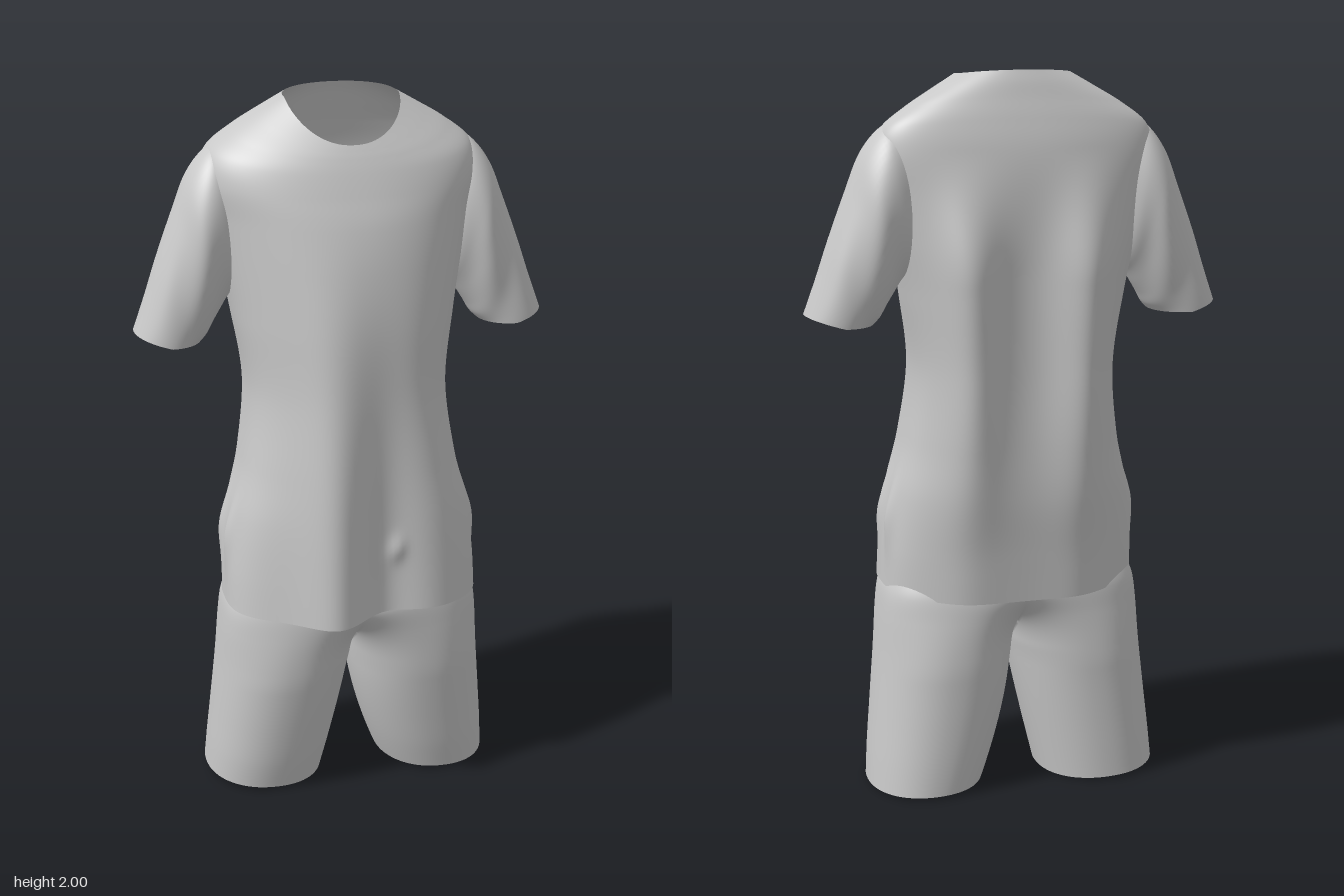
import * as THREE from 'three';
import { mergeVertices, mergeGeometries } from 'three/addons/utils/BufferGeometryUtils.js';

const { smoothstep, lerp } = THREE.MathUtils;
const gauss = (d, s) => Math.exp(-(d * d) / (2 * s * s));
const spow = (v, e) => Math.sign(v) * Math.pow(Math.abs(v), e);

// Smooth interpolation through a list of rows, t in 0..1
function sampleRows(rows, t) {
  const f = t * (rows.length - 1);
  const i = Math.min(Math.floor(f), rows.length - 2), k = f - i;
  const at = (j) => rows[Math.max(0, Math.min(rows.length - 1, j))];
  return rows[0].map((_, c) => {
    const a = at(i - 1)[c], b = at(i)[c], d = at(i + 1)[c], e = at(i + 2)[c];
    return b + 0.5 * k * (d - a + k * (2 * a - 5 * b + 4 * d - e + k * (3 * (b - d) + e - a)));
  });
}

// Open cloth surface from point(u, v); side = -1 mirrors it in x, hole(point) leaves faces out
function sheet(point, nu, nv, side = 1, hole = () => false) {
  const pos = [], index = [];
  for (let j = 0; j <= nv; j++) {
    for (let i = 0; i <= nu; i++) {
      const [x, y, z] = point(i / nu, j / nv);
      pos.push(x * side, y, z);
    }
  }
  for (let j = 0; j < nv; j++) {
    for (let i = 0; i < nu; i++) {
      if (hole(point((i + 0.5) / nu, (j + 0.5) / nv))) continue;
      const a = j * (nu + 1) + i, b = a + 1, c = a + nu + 1, d = c + 1;
      if (side > 0) index.push(a, b, d, a, d, c);
      else index.push(a, d, b, a, c, d);
    }
  }
  const g = new THREE.BufferGeometry();
  g.setAttribute('position', new THREE.Float32BufferAttribute(pos, 3));
  g.setIndex(index);
  return g;
}

function finish(geometry) {
  const g = mergeVertices(geometry, 1e-4);
  g.computeVertexNormals();
  return g;
}

// Shirt body, hem to collar: yFront, ySide, yBack, half width, zFront, zBack, zSide
const shirtRows = [
  [0.585, 0.58, 0.56, 0.362, 0.245, -0.238, 0],
  [0.7, 0.7, 0.7, 0.356, 0.24, -0.25, -0.01],
  [0.85, 0.85, 0.85, 0.337, 0.235, -0.265, -0.02],
  [1.0, 1.0, 1.0, 0.302, 0.23, -0.27, -0.03],
  [1.2, 1.2, 1.2, 0.28, 0.22, -0.27, -0.05],
  [1.4, 1.4, 1.4, 0.308, 0.208, -0.27, -0.07],
  [1.55, 1.55, 1.55, 0.337, 0.188, -0.268, -0.09],
  [1.67, 1.68, 1.69, 0.362, 0.162, -0.258, -0.1],
  [1.75, 1.78, 1.8, 0.382, 0.135, -0.243, -0.1],
  [1.81, 1.85, 1.875, 0.365, 0.113, -0.224, -0.1],
  [1.845, 1.903, 1.93, 0.3, 0.098, -0.206, -0.09],
  [1.865, 1.947, 1.97, 0.227, 0.088, -0.193, -0.075],
  [1.88, 1.988, 2.0, 0.157, 0.08, -0.18, -0.065],
];

function shirtPoint(u, v) {
  const [yF, yS, yB, w, zF, zB, zS] = sampleRows(shirtRows, v);
  const th = u * Math.PI * 2, s = Math.sin(th), c = Math.cos(th);
  const y = yS + ((c > 0 ? yF : yB) - yS) * Math.pow(Math.abs(c), 1.3);
  let x = w * spow(s, 0.92);
  const upper = smoothstep(y, 0.7, 1.7);
  const boxy = c > 0 ? lerp(0.65, 0.95, upper) : lerp(0.78, 0.7, upper);
  let z = zS + (c > 0 ? zF - zS : zS - zB) * spow(c, boxy);
  // Hanging folds
  if (c > 0) {
    const k = Math.pow(1 - smoothstep(y, 0.55, 1.7), 0.8) * smoothstep(c, 0, 0.5);
    z += k * (0.068 * gauss(x + 0.1, 0.07) - 0.03 * gauss(x - 0.06, 0.06) + 0.006 * gauss(x - 0.22, 0.06));
    z += 0.012 * gauss(x - 0.09, 0.015) * gauss(y - 0.77, 0.025);
  } else {
    const k = (0.25 + 0.75 * smoothstep(y, 0.65, 1.2)) * (1 - smoothstep(y, 1.45, 1.8)) * smoothstep(-c, 0, 0.4);
    z -= k * 0.055 * (gauss(x + 0.16, 0.06) + gauss(x - 0.18, 0.06));
    z += k * 0.015 * gauss(x, 0.07);
  }
  // Pocket bulges at the hips
  const bulge = 0.016 * smoothstep(Math.abs(s), 0.5, 0.8) * gauss(y - 0.78, 0.06) *
    (gauss(z - 0.03, 0.018) + gauss(z + 0.06, 0.018));
  x += Math.sign(s) * bulge;
  return [x, y, z];
}

// Opening in the shirt body behind each sleeve
const armhole = ([x, y, z]) =>
  Math.abs(x) > 0.28 && ((y - 1.64) / 0.15) ** 2 + ((z + 0.095) / 0.085) ** 2 < 1;

// Sleeve, shoulder to cuff: outer x, y, inner x, y, zFront, zBack
const sleeveRows = [
  [0.315, 1.872, 0.27, 1.52, -0.005, -0.19],
  [0.368, 1.85, 0.298, 1.475, 0.024, -0.215],
  [0.42, 1.785, 0.322, 1.445, 0.034, -0.22],
  [0.461, 1.685, 0.342, 1.412, 0.032, -0.215],
  [0.506, 1.565, 0.362, 1.38, 0.027, -0.207],
  [0.542, 1.46, 0.378, 1.352, 0.023, -0.198],
  [0.578, 1.362, 0.395, 1.335, 0.02, -0.19],
];

function sleevePoint(u, v) {
  const [ox, oy, ix, iy, zF, zB] = sampleRows(sleeveRows, v);
  const th = u * Math.PI * 2, k = 0.5 + 0.5 * Math.cos(th), s = Math.sin(th);
  const fold = 0.006 * Math.sin(v * 9 + k * 7) * Math.sin(Math.PI * v) * s;
  const sag = v * v * 0.012 * (1 - Math.abs(2 * k - 1));
  return [lerp(ix, ox, k), lerp(iy, oy, k) - sag, (zF + zB) / 2 + (zF - zB) / 2 * spow(s, 0.92) + fold];
}

// Shorts, leg opening to waist: y, outer x, zFront, zBack
const shortsRows = [
  [0.012, 0.42, 0.135, -0.238],
  [0.1, 0.413, 0.155, -0.238],
  [0.2, 0.403, 0.172, -0.237],
  [0.3, 0.393, 0.187, -0.236],
  [0.4, 0.383, 0.2, -0.236],
  [0.5, 0.373, 0.211, -0.236],
  [0.57, 0.362, 0.212, -0.232],
  [0.62, 0.342, 0.2, -0.215],
];

// One leg turns from a full tube into half of the hips above the crotch
function shortsPoint(side) {
  return (u, v) => {
    const [y, w, zF, zB] = sampleRows(shortsRows, v);
    const drop = Math.max(0, 0.4 - y) / 0.388;
    const inner = side > 0 ? 0.095 * Math.pow(drop, 1.6) : 0.08 * Math.pow(drop, 1.15);
    const leg = 1 - smoothstep(y, 0.34, 0.59);
    const zc = (zF + zB) / 2, r = (zF - zB) / 2, b = u * Math.PI * 2;
    const a = b / 2 - 0.26 * Math.sin(b);
    const legX = (w + inner) / 2 - (w - inner) / 2 * spow(Math.cos(b), 0.92);
    const legZ = zc + r * spow(Math.sin(b), 0.92);
    const hipX = w * spow(Math.sin(a), 0.95), hipZ = zc + r * spow(Math.cos(a), 0.6);
    const x = lerp(hipX, legX, leg);
    const tilt = (1 - v) ** 6 * (side > 0 ? -0.004 : 0.008) * Math.cos(b);
    return [u === 0 || u === 1 ? inner * leg : x, y - tilt, lerp(hipZ, legZ, leg)];
  };
}

export function createModel() {
  const model = new THREE.Group();
  model.name = 'shirtAndShorts';
  const cloth = new THREE.MeshStandardMaterial({ color: 0xc8c8c8, side: THREE.DoubleSide });
  cloth.name = 'light grey cloth';
  const add = (name, geometry) => {
    const mesh = new THREE.Mesh(finish(geometry), cloth);
    mesh.name = name;
    model.add(mesh);
  };
  add('shirtBody', sheet(shirtPoint, 160, 130, 1, armhole));
  add('leftSleeve', sheet(sleevePoint, 56, 40));
  add('rightSleeve', sheet(sleevePoint, 56, 40, -1));
  add('shorts', mergeGeometries([1, -1].map((side) => sheet(shortsPoint(side), 72, 80, side))));
  return model;
}
